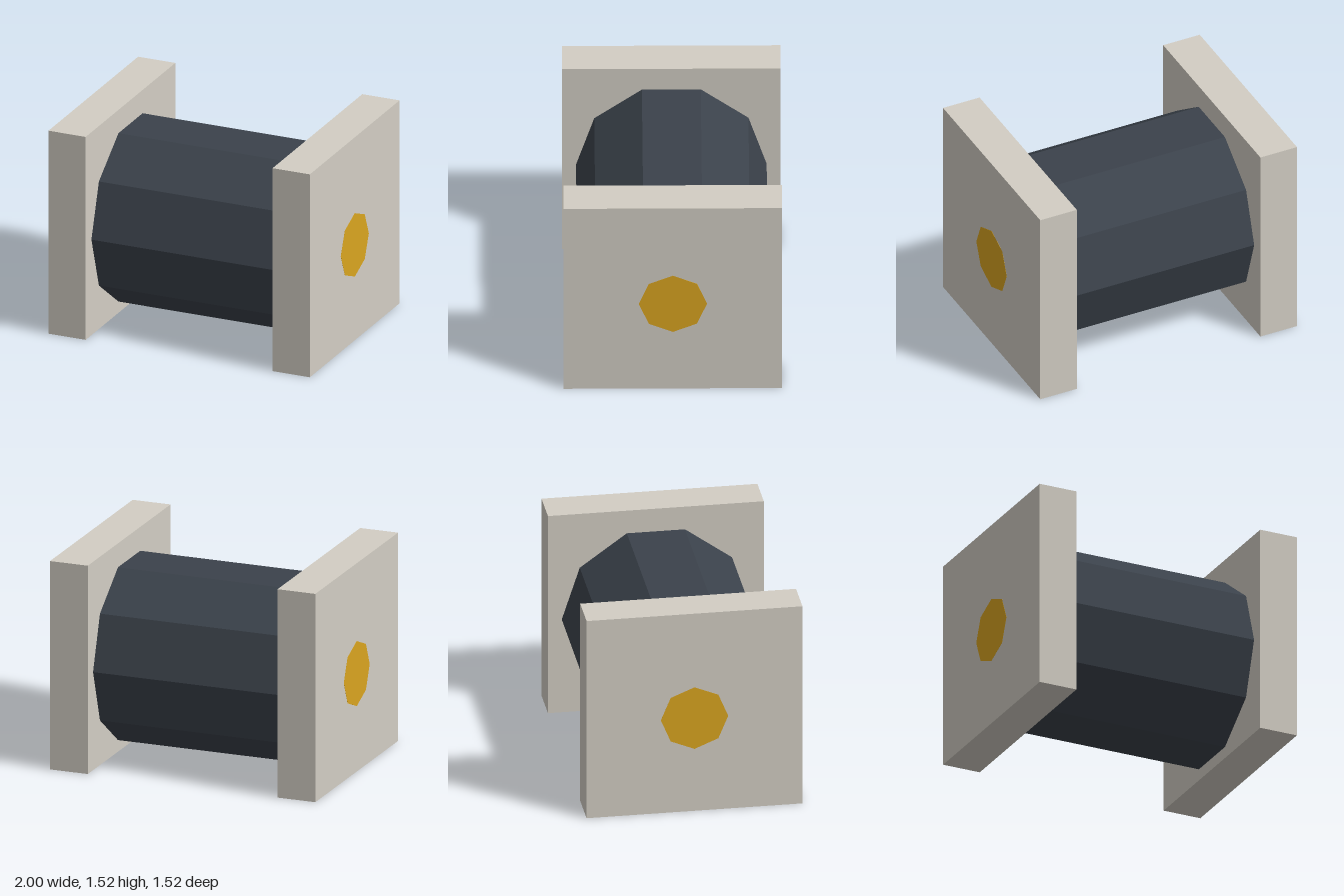
import * as THREE from 'three';

export function createModel() {
  const model = new THREE.Group();
  const axisY = 0.7175;

  const add = (name, geometry, color, x, y) => {
    const material = new THREE.MeshStandardMaterial({ color, flatShading: true });
    const mesh = new THREE.Mesh(geometry, material);
    mesh.name = name;
    mesh.position.set(x, y, 0);
    model.add(mesh);
  };

  // Faceted cylinder lying along x, with a corner pointing to +z
  const roller = (radius, length, sides) =>
    new THREE.CylinderGeometry(radius, radius, length, sides).rotateZ(Math.PI / 2);

  // Ten-sided drum between the plates
  add('drum', roller(0.665, 1.43, 10), 0x3b424b, 0, axisY);

  // Eight-sided axle, flush with the outer faces of the plates
  add('axle', roller(0.238, 2.002, 8), 0xdaa520, 0, axisY);

  // Square end plates
  for (const [name, side] of [['leftEndPlate', 1], ['rightEndPlate', -1]]) {
    add(name, new THREE.BoxGeometry(0.285, 1.525, 1.525), 0xd3cec4, side * 0.8575, 0.7625);
  }

  return model;
}
